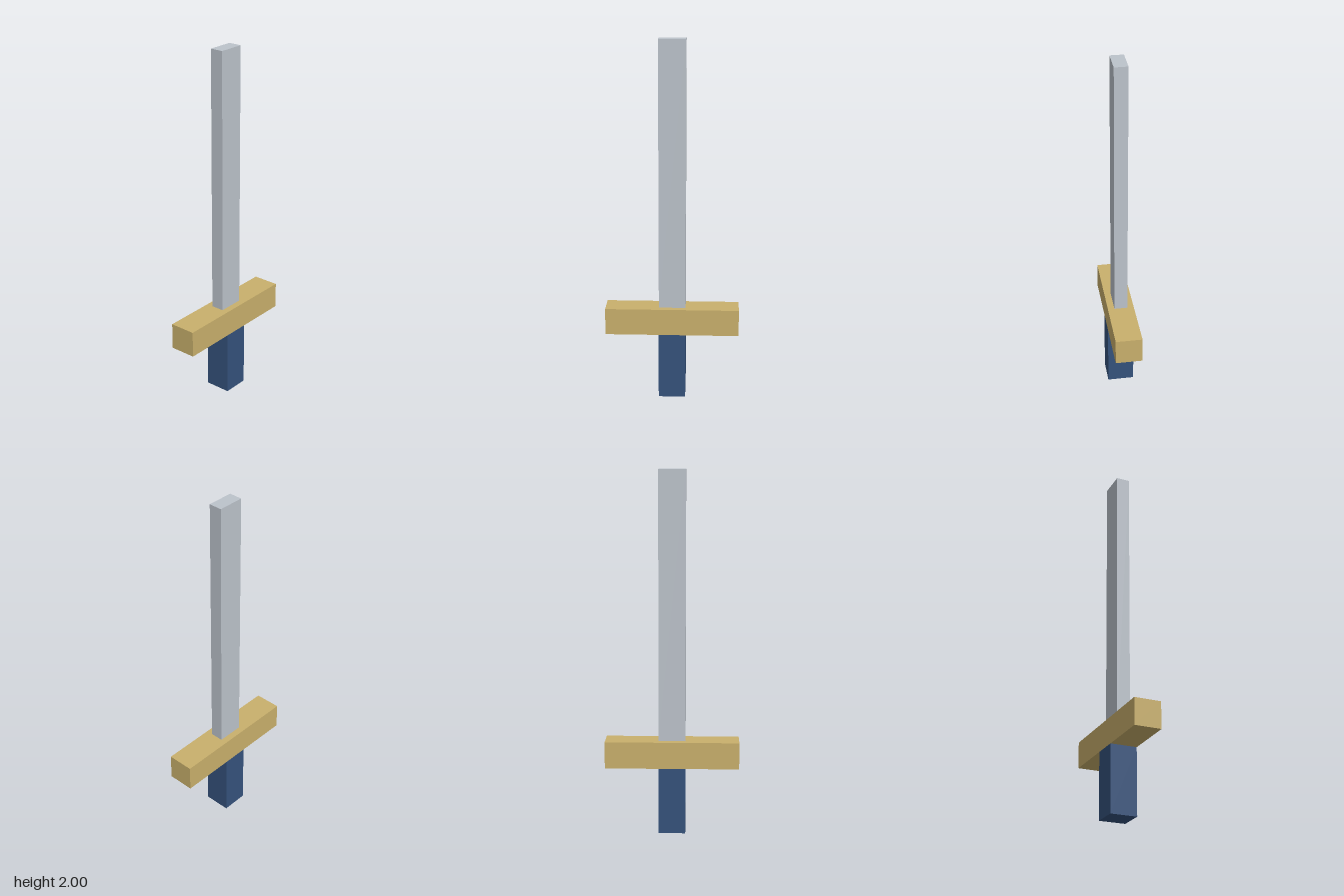
import * as THREE from 'three';

const material = (name, color) => {
  const m = new THREE.MeshStandardMaterial({ color });
  m.name = name;
  return m;
};

export function createModel() {
  const sword = new THREE.Group();
  sword.name = 'sword';
  const steel = material('steel', 0xbcc3cb);
  const brass = material('brass', 0xc9b06c);
  const blue = material('blue wrap', 0x35527c);

  // Stack the blocks upwards, each resting on the one below
  const unit = 2 / 13.5;
  let y = 0;
  const stack = (name, w, h, d, mat) => {
    const mesh = new THREE.Mesh(new THREE.BoxGeometry(w * unit, h * unit, d * unit), mat);
    mesh.name = name;
    mesh.position.y = y + (h * unit) / 2;
    y += h * unit;
    sword.add(mesh);
  };

  stack('grip', 1, 2.5, 1, blue);
  stack('crossguard', 5, 1, 1, brass);
  stack('blade', 1, 10, 0.5, steel);

  return sword;
}
